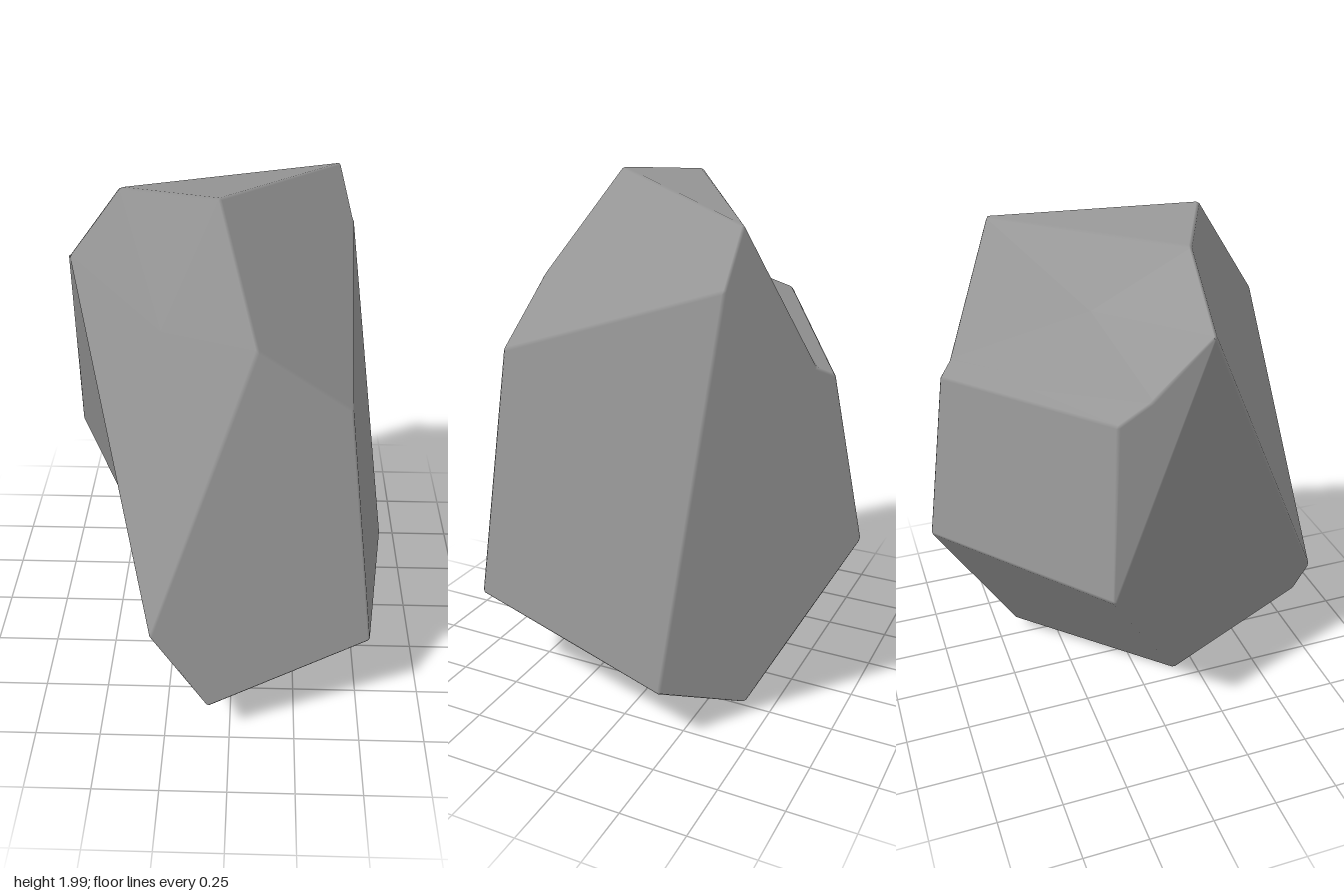
import * as THREE from 'three';

// Corner points of the boulder
const P = {
  A: [-0.04, 2.0, 0.26], B: [-0.39, 1.97, 0.09], C: [-0.575, 1.73, 0.11], D: [0.39, 1.885, -0.41],
  E: [0.45, 1.68, -0.37], F: [0.09, 1.6, 0.54], G: [0.41, 1.37, 0.53], H: [0.525, 0.4, 0.615],
  I: [-0.08, 0.2, 0.775], J: [-0.29, 0.49, 0.71], K: [0.645, 0.24, -0.22], L: [0.3, 0.055, -0.42],
  M: [-0.19, 0, 0.16], N: [-0.65, 0.81, -0.26], O: [0.1, 0.73, -0.775], P: [0.17, 1.365, -0.67],
  Q: [0.23, 1.4, -0.62], R: [-0.605, 1.48, -0.23], S: [-0.57, 1.53, -0.1],
};
// Cleaved facets: crown, front, right, underside, left, back slope, ledge, back
const FACETS = ['ADB', 'AFGED', 'ABCJF', 'FJIHG', 'GHKE', 'HIMLK', 'CNMIJ',
  'BDQSC', 'SQPR', 'CSRN', 'RPON', 'NOLM', 'DEKLOPQ'];
const BEVEL = 0.008;

export function createModel() {
  const pts = {};
  for (const k in P) pts[k] = new THREE.Vector3(...P[k]);
  const center = new THREE.Vector3(0, 1, 0);
  const positions = [], normals = [];
  const emit = (...corners) => {
    for (const c of corners) {
      positions.push(...c.p.toArray());
      normals.push(...c.n.toArray());
    }
  };
  const fan = (cs) => {
    for (let i = 1; i < cs.length - 1; i++) emit(cs[0], cs[i], cs[i + 1]);
  };

  // Inset every facet so that its edges can be bevelled
  const halfEdges = {};
  for (const name of FACETS) {
    let keys = [...name];
    const n = new THREE.Vector3(), mid = new THREE.Vector3();
    keys.forEach((k, i) => {
      n.add(pts[k].clone().cross(pts[keys[(i + 1) % keys.length]]));
      mid.addScaledVector(pts[k], 1 / keys.length);
    });
    n.normalize();
    if (n.dot(mid.clone().sub(center)) < 0) { keys.reverse(); n.negate(); }
    const count = keys.length;
    const corners = keys.map((k, i) => {
      const v = pts[k];
      const a = v.clone().sub(pts[keys[(i + count - 1) % count]]).normalize();
      const b = pts[keys[(i + 1) % count]].clone().sub(v).normalize();
      const inA = n.clone().cross(a), inB = n.clone().cross(b);
      const miter = BEVEL / Math.max(0.4, 1 + inA.dot(inB));
      return { p: v.clone().addScaledVector(inA.add(inB), miter), n };
    });
    const hub = { p: new THREE.Vector3(), n };
    corners.forEach((c) => hub.p.addScaledVector(c.p, 1 / count));
    corners.forEach((c, i) => {
      const j = (i + 1) % count;
      emit(hub, c, corners[j]);
      halfEdges[keys[i] + keys[j]] = { from: c, to: corners[j] };
    });
  }

  // Bevel strips along the edges, blending the normals of both facets
  for (const key in halfEdges) {
    if (key[0] > key[1]) continue;
    const f = halfEdges[key], g = halfEdges[key[1] + key[0]];
    fan([f.from, g.to, g.from, f.to]);
  }

  // Small caps closing the bevel at every corner point
  for (const k in pts) {
    const ring = [];
    const start = Object.keys(halfEdges).find((e) => e[0] === k);
    let edge = start;
    do {
      ring.push(halfEdges[edge].from);
      const twinEnd = halfEdges[edge[1] + k].to;
      edge = Object.keys(halfEdges).find((e) => e[0] === k && halfEdges[e].from === twinEnd);
    } while (edge !== start);
    fan(ring.reverse());
  }

  const geometry = new THREE.BufferGeometry();
  geometry.setAttribute('position', new THREE.Float32BufferAttribute(positions, 3));
  geometry.setAttribute('normal', new THREE.Float32BufferAttribute(normals, 3));

  const stone = new THREE.MeshStandardMaterial({ color: 0x969696 });
  stone.name = 'grey stone';
  const rock = new THREE.Mesh(geometry, stone);
  rock.name = 'boulder';
  const group = new THREE.Group();
  group.name = 'rock';
  group.add(rock);
  return group;
}
